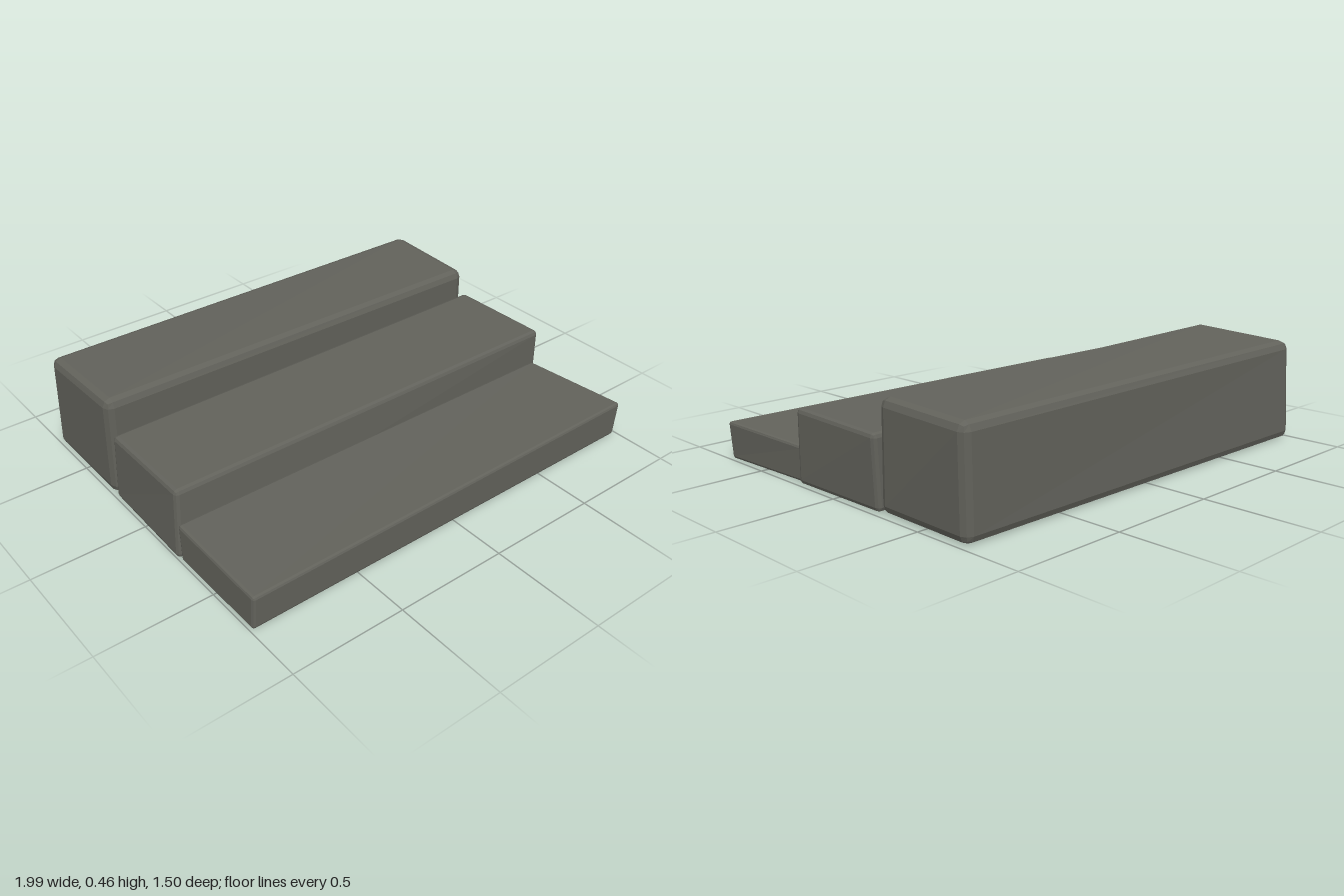
import * as THREE from 'three';
import { RoundedBoxGeometry } from 'three/addons/geometries/RoundedBoxGeometry.js';

const stone = new THREE.MeshStandardMaterial({ color: 0x62625b });
stone.name = 'grey stone';

// Bevelled block warped so that its corners land on the eight given points.
// Corner order: left back, right back, left front, right front.
function slab(name, bottom, top, bevel) {
  const corners = [...bottom, ...top].map((c) => new THREE.Vector3(...c));
  const w = 1.97, h = top[0][1], d = 0.5;
  const geo = new RoundedBoxGeometry(w, h, d, 1, bevel);
  const pos = geo.attributes.position;
  const p = new THREE.Vector3();
  for (let i = 0; i < pos.count; i++) {
    const u = pos.getX(i) / w + 0.5;
    const v = pos.getY(i) / h + 0.5;
    const t = pos.getZ(i) / d + 0.5;
    p.set(0, 0, 0);
    corners.forEach((c, k) => {
      const weight = (k & 1 ? u : 1 - u) * (k & 2 ? t : 1 - t) * (k & 4 ? v : 1 - v);
      p.addScaledVector(c, weight);
    });
    pos.setXYZ(i, p.x, p.y, p.z);
  }
  const flat = geo.index ? geo.toNonIndexed() : geo;
  flat.computeVertexNormals(); // crisp facets on the worn edges
  const mesh = new THREE.Mesh(flat, stone);
  mesh.name = name;
  return mesh;
}

export function createModel() {
  const model = new THREE.Group();
  model.name = 'stoneSteps';

  model.add(
    // Low front step
    slab('lowerStep',
      [[-0.99, 0, 0.26], [0.965, 0, 0.255], [-0.99, 0, 0.745], [0.985, 0, 0.745]],
      [[-0.985, 0.163, 0.245], [0.965, 0.15, 0.245], [-0.985, 0.153, 0.75], [0.995, 0.165, 0.75]],
      0.012),
    // Middle step
    slab('middleStep',
      [[-0.99, 0, -0.25], [0.98, 0, -0.255], [-1, 0, 0.255], [0.985, 0, 0.25]],
      [[-0.975, 0.3, -0.25], [0.99, 0.303, -0.248], [-0.975, 0.306, 0.235], [0.985, 0.312, 0.248]],
      0.018),
    // Tall back step
    slab('upperStep',
      [[-0.995, 0, -0.757], [0.985, 0, -0.74], [-0.995, 0, -0.25], [0.975, 0, -0.255]],
      [[-0.99, 0.445, -0.735], [0.99, 0.435, -0.735], [-0.99, 0.467, -0.235], [0.96, 0.438, -0.243]],
      0.035),
  );
  return model;
}
